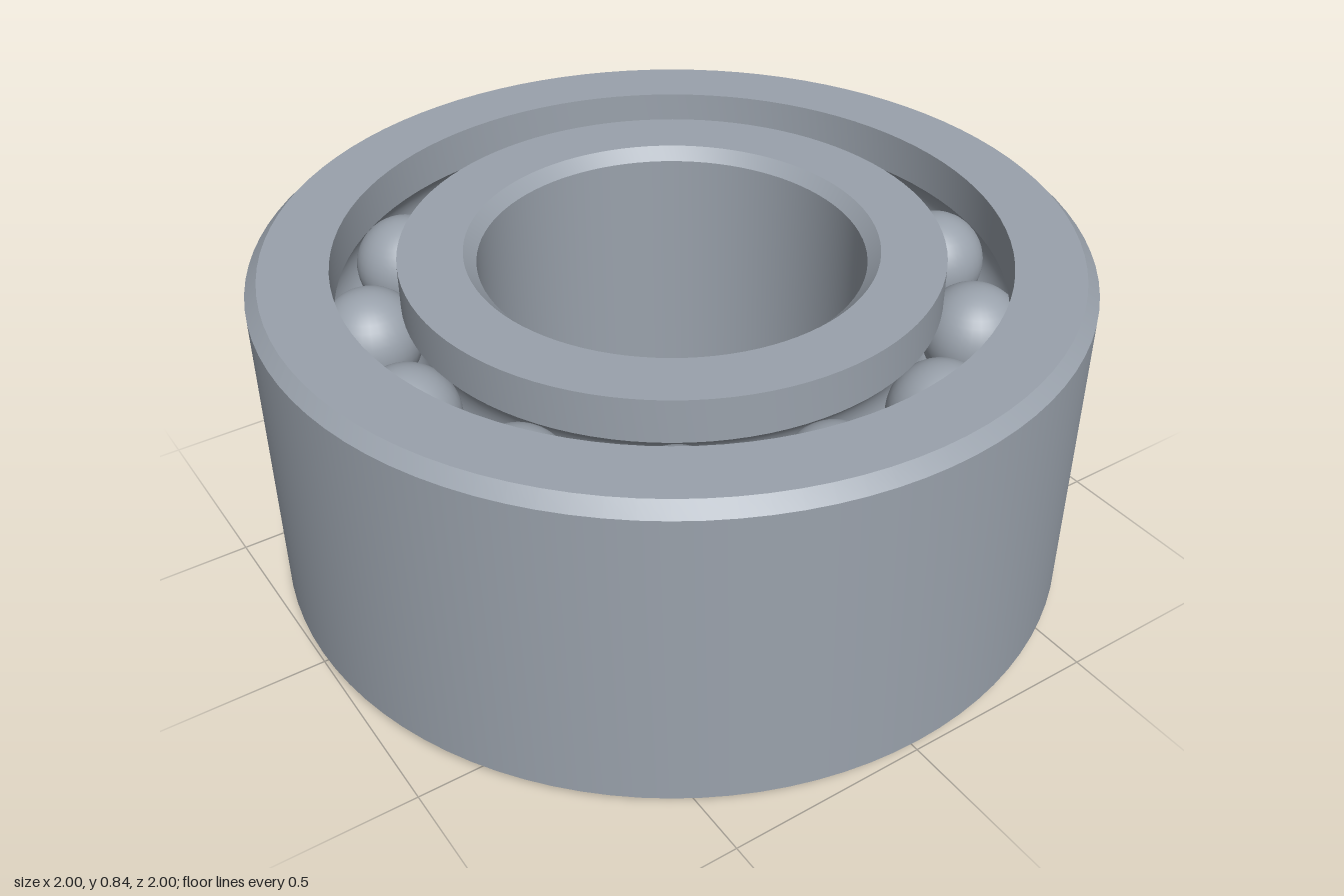
import * as THREE from 'three';
import { toCreasedNormals } from 'three/addons/utils/BufferGeometryUtils.js';

const HEIGHT = 0.84, BEVEL = 0.03;
const OUTER_R = 1, OUTER_LIP = 0.805;   // outer ring radii
const INNER_LIP = 0.65, BORE_R = 0.465; // inner ring radii
const PITCH_R = (OUTER_LIP + INNER_LIP) / 2;
const BALL_R = 0.125, GROOVE_R = 0.127, BALLS = 13;
const ROWS = [HEIGHT / 4, HEIGHT * 3 / 4];

// Raceway arcs from bottom to top; side is +1 for the outer ring, -1 for the inner
function raceways(side) {
  const reach = Math.acos((OUTER_LIP - PITCH_R) / GROOVE_R), steps = 14;
  const points = [];
  for (const y of ROWS) {
    for (let i = 0; i <= steps; i++) {
      const t = reach * (2 * i / steps - 1);
      points.push([PITCH_R + side * GROOVE_R * Math.cos(t), y + GROOVE_R * Math.sin(t)]);
    }
  }
  return points;
}

// Closed ring turned from a counterclockwise [radius, height] profile
function ring(name, profile, material) {
  const points = [...profile, profile[0]].map(([r, y]) => new THREE.Vector2(r, y));
  const geometry = toCreasedNormals(new THREE.LatheGeometry(points, 96), 0.5);
  const mesh = new THREE.Mesh(geometry, material);
  mesh.name = name;
  return mesh;
}

export function createModel() {
  const model = new THREE.Group();
  model.name = 'ballBearing';
  const steel = new THREE.MeshStandardMaterial({ color: 0x9aa2ac });
  steel.name = 'steel grey';

  // Outer ring: chamfered outside, two raceways inside
  model.add(ring('outerRing', [
    [OUTER_R - BEVEL, 0], [OUTER_R, BEVEL],
    [OUTER_R, HEIGHT - BEVEL], [OUTER_R - BEVEL, HEIGHT],
    [OUTER_LIP, HEIGHT], ...raceways(1).reverse(), [OUTER_LIP, 0],
  ], steel));

  // Inner ring: two raceways outside, chamfered bore
  model.add(ring('innerRing', [
    [INNER_LIP, 0], ...raceways(-1), [INNER_LIP, HEIGHT],
    [BORE_R + BEVEL, HEIGHT], [BORE_R, HEIGHT - BEVEL],
    [BORE_R, BEVEL], [BORE_R + BEVEL, 0],
  ], steel));

  // Two aligned rows of balls
  const ballGeometry = new THREE.SphereGeometry(BALL_R, 32, 20);
  ROWS.forEach((y, row) => {
    const balls = new THREE.Group();
    balls.name = row === 0 ? 'lowerBalls' : 'upperBalls';
    for (let i = 0; i < BALLS; i++) {
      const angle = THREE.MathUtils.degToRad(12) + i * 2 * Math.PI / BALLS;
      const ball = new THREE.Mesh(ballGeometry, steel);
      ball.name = 'ball';
      ball.position.set(PITCH_R * Math.cos(angle), y, PITCH_R * Math.sin(angle));
      balls.add(ball);
    }
    model.add(balls);
  });

  return model;
}
